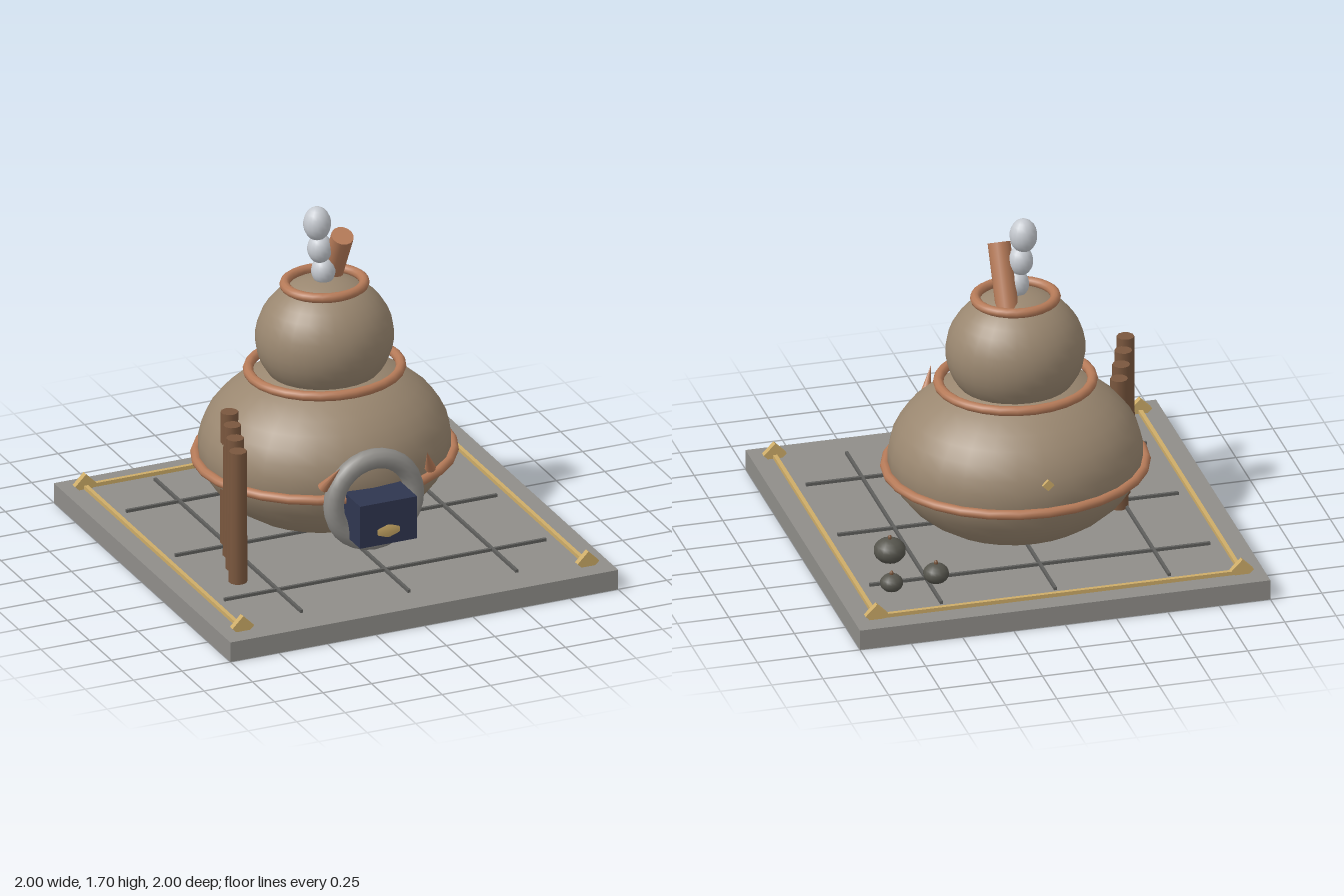
import * as THREE from 'three';

const mat = (name, color) => {
  const m = new THREE.MeshStandardMaterial({ color });
  m.name = name;
  return m;
};

export function createModel() {
  const model = new THREE.Group();
  model.name = 'gourdHouse';

  const stone = mat('stone', 0x8f8d89);
  const seam = mat('seam', 0x5e5e5c);
  const clay = mat('clay', 0x9a8770);
  const copper = mat('copper', 0xb57a58);
  const brass = mat('brass', 0xcdac68);
  const navy = mat('navy', 0x2f3650);
  const wood = mat('wood', 0x7a573e);
  const pebble = mat('pebble', 0x56554d);
  const smoke = mat('smoke', 0xc6cad0);

  const add = (name, geo, material, x, y, z) => {
    const mesh = new THREE.Mesh(geo, material);
    mesh.name = name;
    mesh.position.set(x, y, z);
    model.add(mesh);
    return mesh;
  };
  const box = (name, m, w, h, d, x, y, z) => add(name, new THREE.BoxGeometry(w, h, d), m, x, y, z);
  const ellipsoid = (name, m, rx, ry, rz, x, y, z, seg = 24) =>
    add(name, new THREE.SphereGeometry(1, seg, Math.round(seg * 0.67)).scale(rx, ry, rz), m, x, y, z);
  // Four-sided plaque standing on one corner, facing along z
  const diamond = (name, r, depth, x, y, z) =>
    add(name, new THREE.CylinderGeometry(r, r, depth, 4).toNonIndexed().rotateX(Math.PI / 2), brass, x, y, z)
      .geometry.computeVertexNormals();

  // Ground slab with paving seams
  box('slab', stone, 2, 0.1, 2, 0, 0.05, 0);
  for (const p of [-0.555, 0, 0.555]) {
    box('seamAlong', seam, 0.014, 0.016, 1.66, p, 0.107, 0);
    box('seamAcross', seam, 1.66, 0.015, 0.014, 0, 0.107, p);
  }

  // Brass border on three sides, with corner plaques
  for (const s of [-1, 1]) {
    box('borderSide', brass, 0.02, 0.02, 1.78, s * 0.89, 0.109, 0);
    for (const z of [-0.89, 0.89]) diamond('cornerPlaque', 0.056, 0.03, s * 0.89, 0.12, z);
  }
  box('borderBack', brass, 1.78, 0.02, 0.02, 0, 0.109, -0.89);

  // Two-tier body with copper hoops, slightly narrower front to back
  const cz = -0.13;
  const squash = 0.92;
  ellipsoid('lowerBody', clay, 0.605, 0.41, 0.555, 0, 0.495, cz, 28);
  ellipsoid('upperBody', clay, 0.332, 0.295, 0.305, 0, 1.035, cz, 28);
  const hoops = [['lowerHoop', 0.615, 0.44], ['middleHoop', 0.365, 0.87], ['topHoop', 0.19, 1.302]];
  for (const [name, r, y] of hoops) {
    const g = new THREE.TorusGeometry(r, 0.025, 10, 28).rotateX(Math.PI / 2).scale(1, 0.95, squash);
    add(name, g, copper, 0, y, cz);
  }
  diamond('backPlaque', 0.028, 0.016, 0, 0.587, -0.7);

  // Round doorway, hearth box and glowing lamp
  add('doorRing', new THREE.TorusGeometry(0.207, 0.049, 12, 28), stone, 0, 0.418, 0.427);
  box('hearthBox', navy, 0.293, 0.216, 0.215, 0, 0.365, 0.488);
  ellipsoid('lamp', brass, 0.143, 0.075, 0.043, 0, 0.323, 0.557, 16);

  // Horns beside the doorway, pointing up, forward and inward
  const up = new THREE.Vector3(0, 1, 0);
  for (const s of [-1, 1]) {
    const base = new THREE.Vector3(s * 0.277, 0.54, 0.46);
    const tip = new THREE.Vector3(s * 0.224, 0.662, 0.54);
    const dir = tip.clone().sub(base);
    const mid = base.clone().add(tip).multiplyScalar(0.5);
    const horn = add('horn', new THREE.ConeGeometry(0.027, dir.length(), 10), copper, mid.x, mid.y, mid.z);
    horn.quaternion.setFromUnitVectors(up, dir.normalize());
  }

  // Leaning chimney and puffs of smoke
  const chimney = add('chimney', new THREE.CylinderGeometry(0.054, 0.054, 0.34, 14), copper, 0.06, 1.411, -0.136);
  chimney.rotation.x = 0.48;
  const puffs = [[-0.008, 1.37, 0.058, 0.07], [-0.026, 1.487, 0.06, 0.073], [-0.04, 1.617, 0.066, 0.084]];
  for (const [x, y, r, ry] of puffs) ellipsoid('smokePuff', smoke, r, ry, r, x, y, -0.126, 16);

  // Row of wooden posts
  for (let i = 0; i < 4; i++) {
    add('post', new THREE.CylinderGeometry(0.042, 0.045, 0.67, 10), wood,
      -0.527 - i * 0.05, 0.435, -0.05 + i * 0.142);
  }

  // Stone gourds with little stalks
  for (const [x, z, r] of [[0.525, -0.625, 0.062], [0.75, -0.655, 0.055], [0.675, -0.355, 0.077]]) {
    const y = 0.112 + r * 0.8;
    ellipsoid('gourd', pebble, r, r * 0.8, r, x, y, z, 14);
    ellipsoid('gourdStalk', wood, 0.01, 0.014, 0.01, x, y + r * 0.8 + 0.004, z, 8);
  }

  return model;
}
